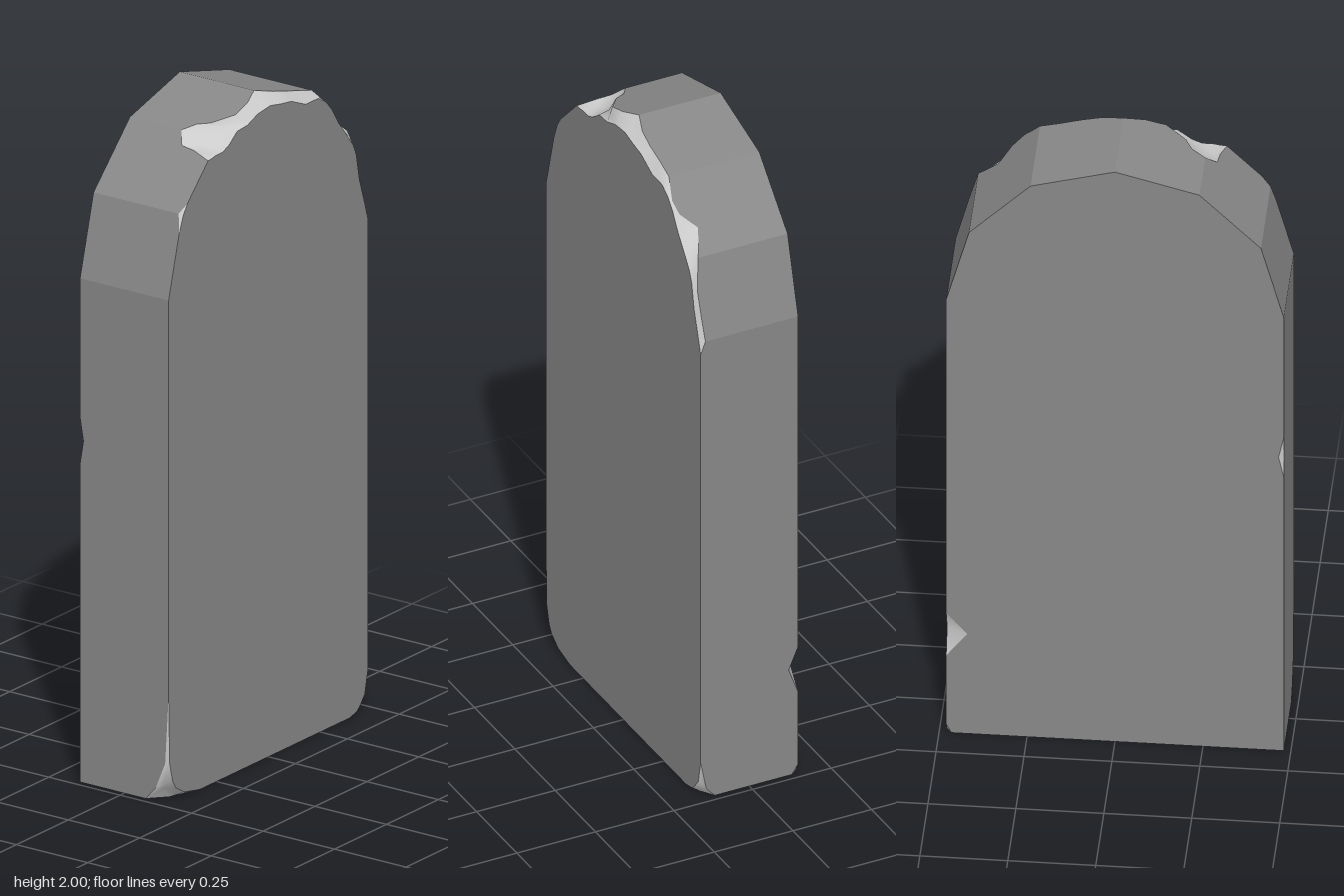
import * as THREE from 'three';
import { mergeVertices } from 'three/addons/utils/BufferGeometryUtils.js';

const H = 0.155; // half thickness

// Half of the arch outline, from crown to foot of the arch
const ARCH = [[0, 2], [0.24, 1.935], [0.415, 1.76], [0.48, 1.52]];
function archY(x) {
  const a = Math.abs(x);
  for (let i = 1; i < ARCH.length; i++) {
    const [x0, y0] = ARCH[i - 1], [x1, y1] = ARCH[i];
    if (a <= x1) return y0 + (y1 - y0) * (a - x0) / (x1 - x0);
  }
  return 1.52;
}

// One station on the outline: its edge point, the chip depth in z and where
// the front face starts, then the same for chips on the back edge
function station(x, y, depth = 0, fx = x, fy = y, backDepth = 0, bx = x, by = y) {
  const pull = depth > 0.06 ? 0.8 : 0.5; // deep chips are scooped out
  return [
    new THREE.Vector3(fx, fy, H),
    new THREE.Vector3(x + (fx - x) * pull, y + (fy - y) * pull, H - depth * 0.5),
    new THREE.Vector3(x, y, H - depth),
    new THREE.Vector3(x, y, -H + backDepth),
    new THREE.Vector3(bx, by, -H),
  ];
}

// Worn front edge over the arch: x, depth, front face x, front face y
const WORN = [
  [0.48, 0.015, 0.465, 1.53], [0.462, 0.012, 0.439, 1.61], [0.44, 0.01, 0.424, 1.69],
  [0.415, 0.025, 0.41, 1.722], [0.39, 0.04, 0.375, 1.768], [0.355, 0.055, 0.34, 1.81],
  [0.32, 0.015, 0.308, 1.86], [0.29, 0.007, 0.278, 1.893], [0.24, 0.022, 0.24, 1.915],
  [0.18, 0.025, 0.18, 1.915], [0.12, 0.025, 0.11, 1.945], [0.06, 0.03, 0.06, 1.952],
  [0, 0.05, 0.01, 1.962], [-0.06, 0.03, -0.05, 1.955], [-0.12, 0.027, -0.1, 1.936],
  [-0.18, 0.07, -0.15, 1.932], [-0.2, 0.105, -0.19, 1.902], [-0.24, 0.13, -0.22, 1.89],
  [-0.272, 0.105, -0.25, 1.89], [-0.276, 0.06, -0.27, 1.887], [-0.29, 0, -0.29, 1.885],
  [-0.39, 0, -0.39, 1.785], [-0.415, 0.012, -0.41, 1.755], [-0.43, 0, -0.43, 1.704],
  [-0.48, 0, -0.48, 1.52],
];

function buildStations() {
  return [
    // right side going up, with a notch in the back edge
    station(0.48, 0, 0.045, 0.44, 0.02, 0.02, 0.465, 0),
    station(0.48, 0.03, 0.018, 0.465, 0.05),
    station(0.48, 0.12),
    station(0.48, 0.27),
    station(0.48, 0.35, 0, 0.48, 0.35, 0.03, 0.42, 0.35),
    station(0.48, 0.42),
    station(0.48, 1.48),
    // arch
    ...WORN.map(([x, d, fx, fy]) => station(x, archY(x), d, fx, fy)),
    // left side going down, with a small nick in the back edge
    station(-0.48, 1.1),
    station(-0.48, 1.03, 0, -0.48, 1.03, 0.012, -0.465, 1.03),
    station(-0.48, 0.96),
    station(-0.48, 0.33),
    station(-0.48, 0.12, 0.012, -0.475, 0.12),
    station(-0.48, 0.04, 0.045, -0.461, 0.065),
    // worn bottom front corners
    station(-0.48, 0, 0.08, -0.445, 0.04),
    station(-0.43, 0, 0.035, -0.405, 0.015),
    station(-0.33, 0),
    station(0.39, 0),
    station(0.44, 0, 0.018, 0.425, 0.008),
  ];
}

// Add a triangle to a position list unless it has no area
function addTri(pos, a, b, c) {
  const ab = b.clone().sub(a), ac = c.clone().sub(a);
  if (ab.cross(ac).length() < 1e-8) return;
  for (const p of [a, b, c]) pos.push(p.x, p.y, p.z);
}

// Surfaces between rings k and k + 1 around the whole outline
function addBand(pos, stations, k) {
  stations.forEach((p, i) => {
    const q = stations[(i + 1) % stations.length];
    addTri(pos, p[k], p[k + 1], q[k + 1]);
    addTri(pos, p[k], q[k + 1], q[k]);
  });
}

// Flat front (ring 0) or back (ring 4) face
function addFace(pos, stations, k) {
  const ring = stations.map((s) => s[k]);
  const flat = ring.map((p) => new THREE.Vector2(p.x, p.y));
  for (const [a, b, c] of THREE.ShapeUtils.triangulateShape(flat, [])) {
    const ccw = THREE.ShapeUtils.area([flat[a], flat[b], flat[c]]) > 0;
    if (ccw === (k === 0)) addTri(pos, ring[a], ring[b], ring[c]);
    else addTri(pos, ring[a], ring[c], ring[b]);
  }
}

function toGeometry(pos) {
  const geo = new THREE.BufferGeometry();
  geo.setAttribute('position', new THREE.Float32BufferAttribute(pos, 3));
  return geo;
}

export function createModel() {
  const group = new THREE.Group();
  group.name = 'gravestone';
  const stations = buildStations();

  // dark weathered faces
  const slabPos = [];
  addBand(slabPos, stations, 2);
  addFace(slabPos, stations, 0);
  addFace(slabPos, stations, 4);
  const slabGeo = toGeometry(slabPos);
  slabGeo.computeVertexNormals();
  const slab = new THREE.Mesh(slabGeo, new THREE.MeshStandardMaterial({ color: 0x888888 }));
  slab.name = 'slab';

  // pale broken stone along the edges, smooth within each chip
  const chipPos = [];
  for (const k of [0, 1, 3]) addBand(chipPos, stations, k);
  const chipGeo = mergeVertices(toGeometry(chipPos));
  chipGeo.computeVertexNormals();
  const chips = new THREE.Mesh(chipGeo, new THREE.MeshStandardMaterial({ color: 0xcccccc }));
  chips.name = 'chippedEdges';

  group.add(slab, chips);
  return group;
}
